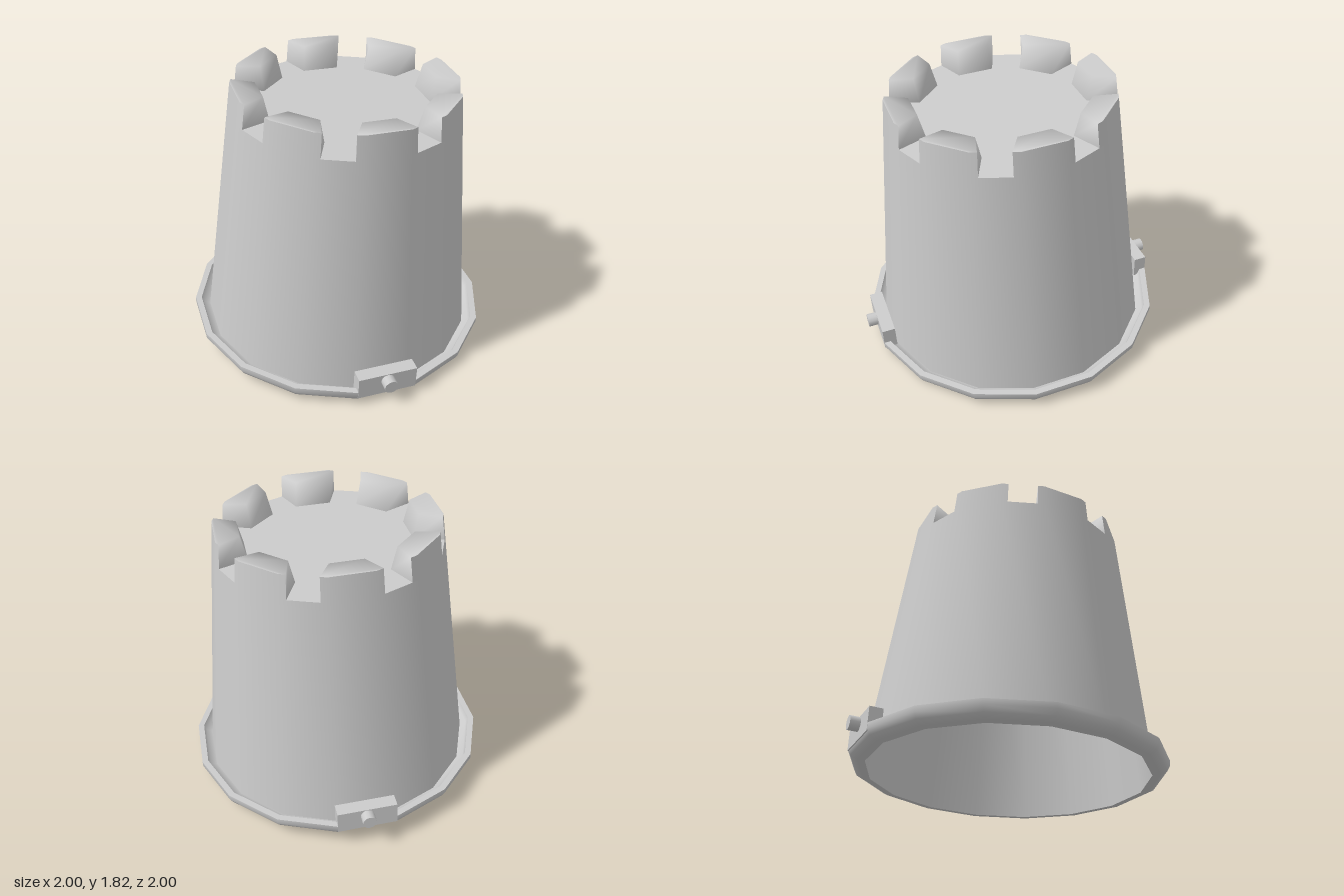
import * as THREE from 'three';

const SIDES = 16, STEP = Math.PI * 2 / SIDES, TURN = -0.019;
const FLOOR = 1.585, TOP = 1.74;
const material = new THREE.MeshStandardMaterial({ color: 0xcccccc });
const thin = new THREE.MeshStandardMaterial({ color: 0xcccccc, side: THREE.DoubleSide });

// Corner radius of the tapering wall at a height
const wallRadius = h => 0.908 - 0.114 * h;

function add(parent, name, geometry, mat = material) {
  const mesh = new THREE.Mesh(geometry, mat);
  mesh.name = name;
  parent.add(mesh);
  return mesh;
}

function ring(parent, name, profile, mat) {
  const points = profile.map(([r, h]) => new THREE.Vector2(r, h));
  return add(parent, name, new THREE.LatheGeometry(points, SIDES, -TURN), mat);
}

// Point on the 16-sided wall, at an angle measured from the middle of a side
function wallPoint(angle, h) {
  const a = Math.abs(angle) > STEP / 2 ? Math.abs(angle) - STEP : angle;
  const r = wallRadius(h) * Math.cos(STEP / 2) / Math.cos(a);
  return [r * Math.cos(angle), h, r * Math.sin(angle)];
}

function surface(positions, index) {
  const g = new THREE.BufferGeometry();
  g.setAttribute('position', new THREE.Float32BufferAttribute(positions.flat(), 3));
  g.setIndex(index);
  g.computeVertexNormals();
  return g;
}

// One battlement block: softly shaded top and inner sides, crisp outer wall
function battlement(angle) {
  const block = new THREE.Group();
  block.name = 'battlement';
  const half = 0.257;
  const outline = (h, r, w) => [
    ...[half, STEP / 2, -STEP / 2, -half].map(a => wallPoint(a, h)),
    [r, h, -w], [r, h, w]
  ];
  const points = [...outline(TOP, 0.55, 0.102), ...outline(FLOOR, 0.515, 0.115)];
  const side = (p, q) => [p + 6, q + 6, q, p + 6, q, p];
  add(block, 'battlementTop', surface(points, [
    0, 1, 2, 0, 2, 3, 0, 3, 4, 0, 4, 5, ...side(3, 4), ...side(4, 5), ...side(5, 0)
  ]));
  const outer = surface(points, [...side(0, 1), ...side(1, 2), ...side(2, 3)]);
  const pos = outer.attributes.position, n = new THREE.Vector3();
  for (let i = 0; i < pos.count; i++) {
    n.set(pos.getX(i), 0, pos.getZ(i)).normalize().setY(0.114).normalize();
    outer.attributes.normal.setXYZ(i, n.x, n.y, n.z);
  }
  add(block, 'battlementWall', outer);
  block.rotation.y = -angle;
  return block;
}

// Handle mount: a block on the rim with a round peg
function handleMount(angle) {
  const mount = new THREE.Group();
  mount.name = 'handleMount';
  const block = add(mount, 'mountBlock', new THREE.BoxGeometry(0.085, 0.15, 0.385));
  block.position.set(0.939, 0.123, 0);
  const peg = add(mount, 'handlePeg', new THREE.CylinderGeometry(0.045, 0.045, 0.08, 12));
  peg.rotation.z = -Math.PI / 2;
  peg.position.set(1.005, 0.15, 0);
  mount.rotation.y = -angle;
  return mount;
}

export function createModel() {
  const model = new THREE.Group();
  model.name = 'castleBucket';
  const bucket = new THREE.Group();
  bucket.name = 'bucket';
  model.add(bucket);

  // Tapered shell, open at the bottom
  ring(bucket, 'outerWall', [[wallRadius(0.03), 0.03], [wallRadius(FLOOR), FLOOR]]);
  ring(bucket, 'innerWall', [[wallRadius(1.56) - 0.015, 1.56], [0.89, 0]]);
  ring(bucket, 'innerCeiling', [[0, 1.56], [wallRadius(1.56) - 0.015, 1.56]], thin);
  ring(bucket, 'closedEnd', [[wallRadius(FLOOR), FLOOR], [0, FLOOR]]);

  // Rim: rounded outside, flat lip and a shallow groove beside the wall
  ring(bucket, 'rimOutside', [[0.89, 0], [0.94, 0.004], [0.98, 0.025], [1, 0.06], [1, 0.095]]);
  ring(bucket, 'rimLip', [[1, 0.095], [0.96, 0.095]]);
  ring(bucket, 'rimGroove', [[0.96, 0.095], [0.945, 0.055], [0.9, 0.04]]);

  for (let i = 0; i < 8; i++) bucket.add(battlement(TURN + STEP * (0.5 + 2 * i)));
  for (const side of [2.5, 10.5]) bucket.add(handleMount(TURN + STEP * side));

  // Slight lean of the whole bucket
  const axis = new THREE.Vector3(0.045, 1, 0.025).normalize();
  bucket.quaternion.setFromUnitVectors(new THREE.Vector3(0, 1, 0), axis);
  bucket.position.y = 0.048;
  return model;
}
